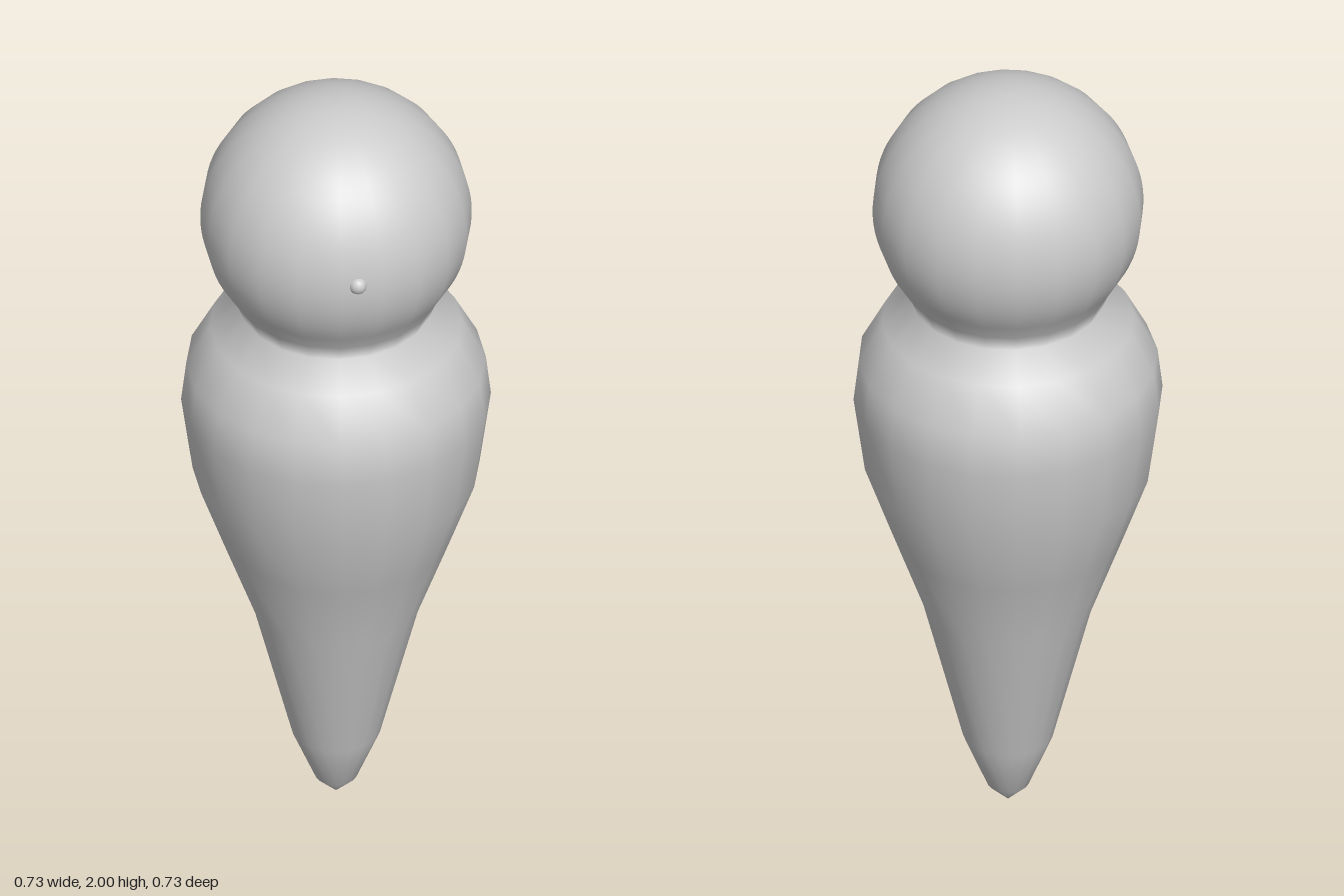
import * as THREE from 'three';

const HEAD_Y = 1.68, HEAD_R = 0.32;

export function createModel() {
  const group = new THREE.Group();
  const material = new THREE.MeshStandardMaterial({ color: 0xcccccc });

  const add = (name, geometry) => {
    const mesh = new THREE.Mesh(geometry, material);
    mesh.name = name;
    group.add(mesh);
    return mesh;
  };

  // Tapering body from the pointed tip to the neck
  const profile = [
    [0, 0], [0.05, 0.05], [0.107, 0.19], [0.2, 0.56], [0.275, 0.77], [0.338, 0.95],
    [0.365, 1.15], [0.353, 1.255], [0.297, 1.362], [0.226, 1.42], [0.244, 1.465],
  ].map(([r, y]) => new THREE.Vector2(r, y));

  // Round head, an arc that continues the neck up to the crown
  const start = -0.57, steps = 28;
  for (let i = 0; i <= steps; i++) {
    const a = start + (Math.PI / 2 - start) * (i / steps);
    profile.push(new THREE.Vector2(
      i === steps ? 0 : HEAD_R * Math.cos(a), HEAD_Y + HEAD_R * Math.sin(a)));
  }
  add('bodyAndHead', new THREE.LatheGeometry(profile, 20));

  // Tiny bump on the front of the head
  const bump = add('bump', new THREE.SphereGeometry(0.022, 12, 8));
  bump.position.set(-0.148, 1.695, 0.272);
  return group;
}
